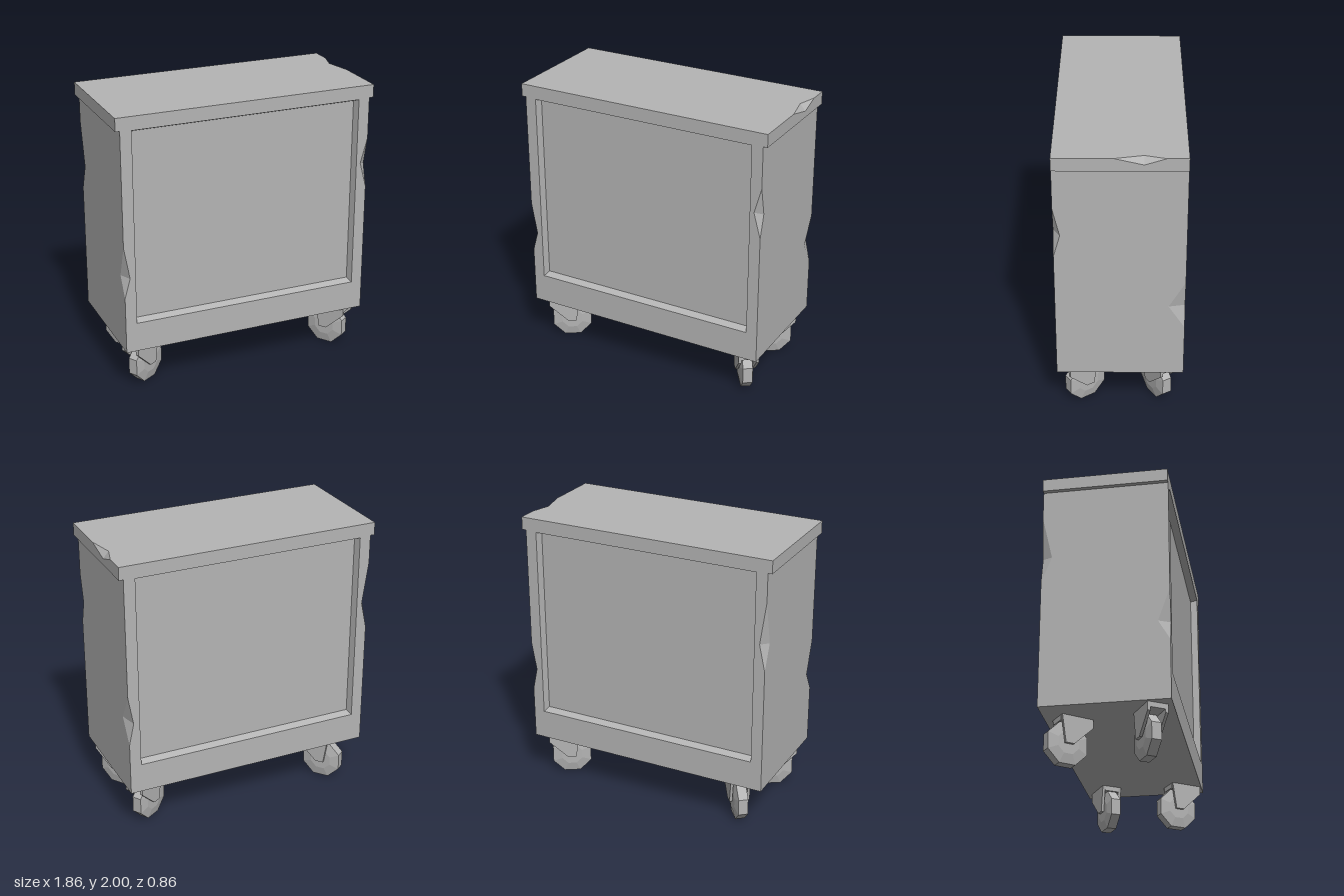
import * as THREE from 'three';

const metal = new THREE.MeshStandardMaterial({ color: 0xb4b4b4 });
metal.name = 'grey metal';

const vec = (x, y, z) => new THREE.Vector3(x, y, z);

// Collects flat polygons (with holes) and turns them into a faceted geometry.
class Facets {
  constructor() { this.points = []; }

  add(outward, loop, holes = []) {
    const axis = ['x', 'y', 'z'].reduce((a, b) =>
      Math.abs(outward[b]) > Math.abs(outward[a]) ? b : a);
    const [u, v] = ['x', 'y', 'z'].filter((k) => k !== axis);
    const flat = (ring) => ring.map((p) => new THREE.Vector2(p[u], p[v]));
    // Outline runs counter-clockwise and holes clockwise before triangulating
    const wind = (ring, cw) =>
      THREE.ShapeUtils.isClockWise(flat(ring)) === cw ? ring : [...ring].reverse();
    const outer = wind(loop, false);
    const inner = holes.map((h) => wind(h, true));
    const all = [outer, ...inner].flat();
    for (const t of THREE.ShapeUtils.triangulateShape(flat(outer), inner.map(flat))) {
      const [a, b, c] = t.map((i) => all[i]);
      const n = b.clone().sub(a).cross(c.clone().sub(a));
      this.points.push(...(n.dot(outward) < 0 ? [a, c, b] : [a, b, c]));
    }
  }

  mesh(name) {
    const geometry = new THREE.BufferGeometry().setFromPoints(this.points);
    geometry.computeVertexNormals();
    return named(geometry, name);
  }
}

function named(geometry, name) {
  const mesh = new THREE.Mesh(geometry, metal);
  mesh.name = name;
  return mesh;
}

// Cabinet: corners chipped, a sunken panel in the front and the back
function cabinet() {
  const f = new Facets();
  const X = 0.9, Z = 0.43, Y0 = 0.32, Y1 = 1.91, depth = 0.05;
  // Chip on each upright corner: span, then inset and height on each face
  const chips = [
    { sx: 1, sz: 1, lo: 1.26, hi: 1.62, dx: 0.05, yx: 1.44, dz: 0.045, yz: 1.42 },
    { sx: -1, sz: 1, lo: 0.73, hi: 1.1, dx: 0.04, yx: 0.87, dz: 0.08, yz: 0.87 },
    { sx: 1, sz: -1, lo: 0.7, hi: 1.06, dx: 0.035, yx: 0.86, dz: 0.11, yz: 0.87 },
    { sx: -1, sz: -1, lo: 1.22, hi: 1.71, dx: 0.042, yx: 1.41, dz: 0.07, yz: 1.4 },
  ];
  const onEnd = (c) => vec(c.sx * (X - c.dx), c.yx, c.sz * Z);
  const onSide = (c) => vec(c.sx * X, c.yz, c.sz * (Z - c.dz));
  const edge = (c, apex) => [Y0, c.lo, null, c.hi, Y1].map((y) =>
    y === null ? apex(c) : vec(c.sx * X, y, c.sz * Z));
  const chip = (sx, sz) => chips.find((c) => c.sx === sx && c.sz === sz);
  const rect = (x, y0, y1, z) =>
    [vec(-x, y0, z), vec(x, y0, z), vec(x, y1, z), vec(-x, y1, z)];

  for (const c of chips) {
    const out = vec(c.sx, 0, c.sz);
    for (const y of [c.lo, c.hi]) {
      // Each chip is two triangles meeting on a crease
      const a = vec(c.sx * X, y, c.sz * Z);
      f.add(out, [a, onEnd(c), onSide(c)]);
    }
  }

  for (const s of [1, -1]) {
    // Side walls
    f.add(vec(s, 0, 0), [...edge(chip(s, 1), onSide), ...edge(chip(s, -1), onSide).reverse()]);
    // Frame, sloping reveal and sunken panel
    const rim = rect(0.82, 0.53, 1.905, s * Z);
    const panel = rect(0.805, 0.55, 1.885, s * (Z - depth));
    f.add(vec(0, 0, s),
      [...edge(chip(1, s), onEnd), ...edge(chip(-1, s), onEnd).reverse()], [rim]);
    f.add(vec(0, 0, s), panel);
    [vec(0, 1, 0), vec(-1, 0, 0), vec(0, -1, 0), vec(1, 0, 0)].forEach((inward, i) => {
      const j = (i + 1) % 4;
      f.add(inward, [rim[i], rim[j], panel[j], panel[i]]);
    });
  }
  f.add(vec(0, -1, 0), [vec(-X, Y0, -Z), vec(X, Y0, -Z), vec(X, Y0, Z), vec(-X, Y0, Z)]);
  return f.mesh('cabinet');
}

// Worktop: overhanging slab with one chipped upper edge
function worktop() {
  const f = new Facets();
  const X = 0.93, Z = 0.43, Y0 = 1.91, Y1 = 2;
  const front = vec(X, Y1, 0.04), back = vec(X, Y1, -0.29);
  const onTop = vec(0.89, Y1, -0.15), onSide = vec(X, 1.955, -0.15);
  f.add(vec(0, 1, 0), [vec(-X, Y1, Z), vec(X, Y1, Z), front, onTop, back,
    vec(X, Y1, -Z), vec(-X, Y1, -Z)]);
  f.add(vec(1, 0, 0), [vec(X, Y0, Z), vec(X, Y1, Z), front, onSide, back,
    vec(X, Y1, -Z), vec(X, Y0, -Z)]);
  f.add(vec(1, 1, 0), [front, onTop, onSide]);
  f.add(vec(1, 1, 0), [back, onTop, onSide]);
  f.add(vec(-1, 0, 0), [vec(-X, Y0, Z), vec(-X, Y1, Z), vec(-X, Y1, -Z), vec(-X, Y0, -Z)]);
  f.add(vec(0, -1, 0), [vec(-X, Y0, Z), vec(X, Y0, Z), vec(X, Y0, -Z), vec(-X, Y0, -Z)]);
  for (const s of [1, -1]) {
    f.add(vec(0, 0, s),
      [vec(-X, Y0, s * Z), vec(X, Y0, s * Z), vec(X, Y1, s * Z), vec(-X, Y1, s * Z)]);
  }
  return f.mesh('worktop');
}

// Caster: eight-sided bevelled wheel between two tapered fork plates
function caster(name, x, z, dirX, dirZ) {
  const group = new THREE.Group();
  group.name = name;

  const profile = [[0, -0.048], [0.08, -0.048], [0.1515, -0.034],
    [0.1515, 0.034], [0.08, 0.048], [0, 0.048]].map(([r, h]) => new THREE.Vector2(r, h));
  const wheelShape = new THREE.LatheGeometry(profile, 8, Math.PI / 8).toNonIndexed();
  wheelShape.rotateX(Math.PI / 2);
  wheelShape.computeVertexNormals();
  const wheel = named(wheelShape, 'wheel');
  wheel.position.y = 0.14;
  group.add(wheel);

  const outline = [[-0.03, 0.13], [0.03, 0.13], [0.165, 0.26], [0.165, 0.32], [-0.06, 0.32]]
    .map(([a, b]) => new THREE.Vector2(a, b));
  const plate = new THREE.ExtrudeGeometry(new THREE.Shape(outline),
    { depth: 0.02, bevelEnabled: false });
  for (const side of [0.052, -0.072]) {
    const fork = named(plate, 'forkPlate');
    fork.position.z = side;
    group.add(fork);
  }
  const bridge = named(new THREE.BoxGeometry(0.225, 0.035, 0.104), 'forkBridge');
  bridge.position.set(0.0525, 0.3025, 0);
  group.add(bridge);

  group.position.set(x, 0, z);
  group.rotation.y = Math.atan2(-dirZ, dirX);
  return group;
}

export function createModel() {
  const model = new THREE.Group();
  model.name = 'rollingCabinet';
  model.add(
    cabinet(),
    worktop(),
    caster('frontLeftCaster', 0.73, 0.245, 0.57, 0.82),
    caster('frontRightCaster', -0.705, 0.25, -0.85, 0.53),
    caster('backLeftCaster', 0.705, -0.25, 0.85, -0.53),
    caster('backRightCaster', -0.675, -0.29, 0.62, 0.78),
  );
  return model;
}
